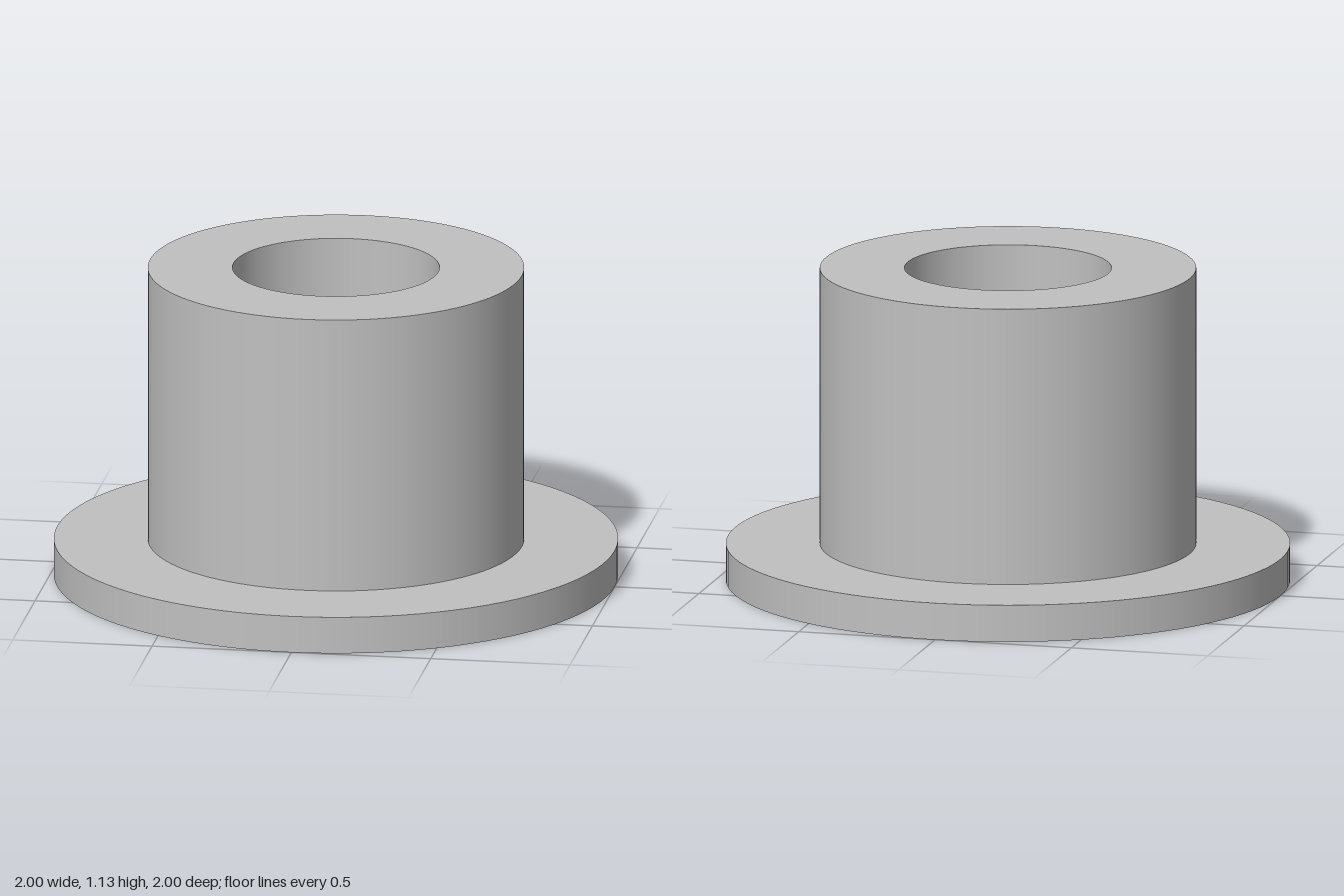
import * as THREE from 'three';
import { mergeGeometries } from 'three/addons/utils/BufferGeometryUtils.js';

const SEGMENTS = 96;
const BORE_R = 0.367, SLEEVE_R = 0.667, FLANGE_R = 1;
const FLANGE_TOP = 0.133, HEIGHT = 1.133;

// Revolves each profile edge separately, so corners stay sharp and walls smooth
function revolve(profile) {
  const bands = [];
  for (let i = 0; i + 1 < profile.length; i++) {
    const edge = [profile[i], profile[i + 1]].map(([r, y]) => new THREE.Vector2(r, y));
    bands.push(new THREE.LatheGeometry(edge, SEGMENTS));
  }
  return mergeGeometries(bands);
}

export function createModel() {
  const group = new THREE.Group();
  group.name = 'flangedBushing';
  const metal = new THREE.MeshStandardMaterial({ color: 0xc0c0c0 });
  metal.name = 'plainGrey';

  const addPart = (name, profile) => {
    const mesh = new THREE.Mesh(revolve(profile), metal);
    mesh.name = name;
    group.add(mesh);
  };

  // Underside, rim and upper face of the wide flange
  addPart('flange', [[BORE_R, 0], [FLANGE_R, 0], [FLANGE_R, FLANGE_TOP], [SLEEVE_R, FLANGE_TOP]]);
  // Outer wall and top ring of the sleeve
  addPart('sleeve', [[SLEEVE_R, FLANGE_TOP], [SLEEVE_R, HEIGHT], [BORE_R, HEIGHT]]);
  // Inner wall of the through hole, facing the axis
  addPart('bore', [[BORE_R, HEIGHT], [BORE_R, 0]]);

  return group;
}
